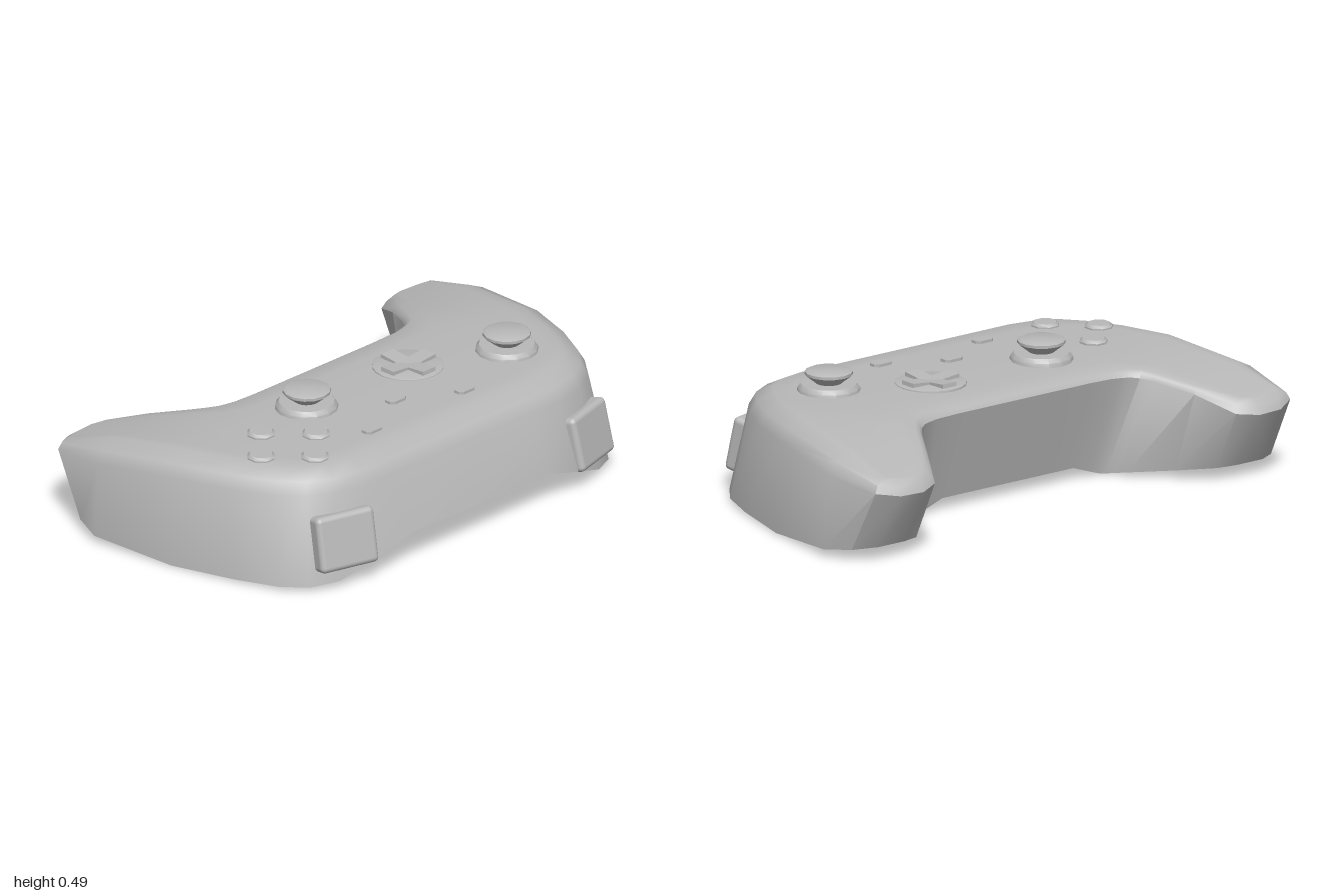
import * as THREE from 'three';
import { toCreasedNormals } from 'three/addons/utils/BufferGeometryUtils.js';
import { RoundedBoxGeometry } from 'three/addons/geometries/RoundedBoxGeometry.js';

const grey = new THREE.MeshStandardMaterial({ color: 0xb8b8b8 });
grey.name = 'plain grey';

const { lerp, clamp } = THREE.MathUtils;
const ramp = (v, a, b) => clamp((v - a) / (b - a), 0, 1);

// Height of the upper face: flat in the middle, dropping along the grips
function topY(z) {
  const steps = [[0.1, 0.415], [-0.1, 0.41], [-0.25, 0.395], [-0.4, 0.36], [-0.61, 0.3]];
  if (z >= steps[0][0]) return steps[0][1];
  for (let i = 1; i < steps.length; i++) {
    const [z0, y0] = steps[i - 1], [z1, y1] = steps[i];
    if (z >= z1) return lerp(y0, y1, (z0 - z) / (z0 - z1));
  }
  return 0.3;
}

// Height of the underside: raised towards the front between the grips
function bottomY(x, z) {
  const grip = z > -0.12 ? 0.018 * ramp(z, -0.12, 0.5) : 0.05 * ramp(-z, 0.12, 0.49);
  const t = ramp(z, -0.14, 0.6);
  const middle = lerp(0.045, 0.13, t);
  const w = 1 - ramp(Math.abs(x), lerp(0.3, 0.36, t), lerp(0.42, 0.7, t));
  return lerp(grip, middle, w);
}

// Half the body from the middle to a grip tip. Each row is a cross-section:
// outer bottom x z, outer rim x z, inner bottom x z, inner rim x z
const sections = [
  [0, 0.6, 0, 0.52, 0, -0.14, 0, -0.225],
  [0.34, 0.6, 0.34, 0.52, 0.2, -0.14, 0.2, -0.225],
  [0.5, 0.592, 0.48, 0.52, 0.3, -0.14, 0.3, -0.225],
  [0.65, 0.55, 0.61, 0.495, 0.38, -0.14, 0.4, -0.23],
  [0.75, 0.5, 0.71, 0.44, 0.41, -0.145, 0.44, -0.24],
  [0.82, 0.41, 0.79, 0.34, 0.43, -0.16, 0.47, -0.25],
  [0.88, 0.25, 0.86, 0.2, 0.45, -0.18, 0.5, -0.27],
  [0.945, 0, 0.925, 0, 0.48, -0.22, 0.53, -0.31],
  [1.0, -0.33, 0.98, -0.33, 0.59, -0.36, 0.61, -0.44],
  [0.96, -0.44, 0.95, -0.56, 0.69, -0.47, 0.69, -0.575],
  [0.88, -0.49, 0.87, -0.605, 0.76, -0.49, 0.77, -0.61],
];
const N = 8; // steps across the upper face and underside

function makeRings() {
  const outline = [
    ...sections.map(s => [s[2], s[3]]),
    ...sections.map(s => [s[6], s[7]]).reverse(),
  ];
  const inset = (i, d) => {
    const a = outline[Math.max(i - 1, 0)], b = outline[Math.min(i + 1, outline.length - 1)];
    const tx = b[0] - a[0], tz = b[1] - a[1], l = Math.hypot(tx, tz);
    return [outline[i][0] + tz / l * d, outline[i][1] - tx / l * d];
  };
  return sections.map((s, k) => {
    const ring = [], inner = outline.length - 1 - k;
    const tip = k > 8, wide = tip ? 0.05 : 0.09, thin = tip ? 0.045 : 0.025;
    const bevel = (i, d, drop) => {
      const [x, z] = inset(i, d);
      ring.push([x, topY(z) - drop, z]);
    };
    for (let j = 0; j <= N; j++) {
      const x = lerp(s[4], s[0], j / N), z = lerp(s[5], s[1], j / N);
      ring.push([x, bottomY(x, z), z]);
    }
    bevel(k, 0, tip ? 0.04 : 0.075);
    bevel(k, wide * 0.3, tip ? 0.015 : 0.03);
    const a = inset(k, wide), b = inset(inner, thin);
    for (let j = 0; j <= N; j++) {
      const x = lerp(a[0], b[0], j / N), z = lerp(a[1], b[1], j / N);
      ring.push([x, topY(z), z]);
    }
    bevel(inner, thin * 0.4, tip ? 0.015 : 0.007);
    bevel(inner, 0, tip ? 0.04 : 0.022);
    return ring;
  });
}

function bodyGeometry() {
  const half = makeRings();
  const mirrored = half.slice(1).reverse().map(r => r.map(([x, y, z]) => [-x, y, z]));
  const rings = [...mirrored, ...half];
  const L = rings[0].length, pos = [];
  const quad = (a, b, c, d) => pos.push(...a, ...b, ...c, ...a, ...c, ...d);
  for (let i = 0; i < rings.length - 1; i++) {
    for (let j = 0; j < L; j++) {
      const n = (j + 1) % L;
      quad(rings[i][j], rings[i + 1][j], rings[i + 1][n], rings[i][n]);
    }
  }
  // Close both grip tips
  const out = [N, N + 1, N + 2, N + 3], inn = [0, L - 1, L - 2, L - 3];
  const first = rings[0], last = rings[rings.length - 1];
  for (let j = 0; j < 3; j++) {
    quad(last[out[j]], last[inn[j]], last[inn[j + 1]], last[out[j + 1]]);
    quad(first[out[j]], first[out[j + 1]], first[inn[j + 1]], first[inn[j]]);
  }
  const g = new THREE.BufferGeometry();
  g.setAttribute('position', new THREE.Float32BufferAttribute(pos, 3));
  return toCreasedNormals(g, 0.65);
}

// Turned part from a radius/height profile, with crisp edges
function turned(points, sides) {
  const g = new THREE.LatheGeometry(points.map(p => new THREE.Vector2(...p)), sides);
  return toCreasedNormals(g, 0.6);
}

export function createModel() {
  const model = new THREE.Group();
  model.name = 'gameController';
  const add = (name, geometry, x = 0, y = 0, z = 0, parent = model) => {
    const m = new THREE.Mesh(geometry, grey);
    m.name = name;
    m.position.set(x, y, z);
    parent.add(m);
    return m;
  };

  add('body', bodyGeometry());

  // Thumbsticks with their collars
  const stick = turned([[0.115, 0.4], [0.112, 0.425], [0.1, 0.44], [0.045, 0.441],
    [0.086, 0.474], [0.086, 0.484], [0.074, 0.49], [0, 0.49]], 14);
  add('rightThumbstick', stick, -0.29, 0, 0.025);
  add('leftThumbstick', stick, 0.545, 0, 0.195);

  // Round face buttons
  const button = turned([[0.052, 0.4], [0.052, 0.42], [0.042, 0.43], [0, 0.43]], 8);
  for (const [x, z] of [[-0.565, 0.07], [-0.7, 0.205], [-0.43, 0.21], [-0.565, 0.34]]) {
    add('faceButton', button, x, 0, z).rotation.y = Math.PI / 8;
  }

  // Small oblong menu buttons
  const oblong = new THREE.Shape([[-0.04, -0.012], [-0.026, -0.025], [0.026, -0.025], [0.04, -0.012],
    [0.04, 0.012], [0.026, 0.025], [-0.026, 0.025], [-0.04, 0.012]].map(p => new THREE.Vector2(...p)));
  const small = new THREE.ExtrudeGeometry(oblong, { depth: 0.025, bevelEnabled: false });
  small.rotateX(-Math.PI / 2);
  for (const [x, z] of [[-0.265, 0.325], [-0.03, 0.21], [0.2, 0.325]]) {
    add('menuButton', small, x, 0.4, z);
  }

  // Direction pad: disc with four arms rising outwards
  const pad = new THREE.Group();
  pad.name = 'directionPad';
  pad.position.set(0.205, 0, 0.04);
  model.add(pad);
  add('padDisc', turned([[0.13, 0.4], [0.128, 0.417], [0.12, 0.42], [0, 0.418]], 20), 0, 0, 0, pad);
  for (let i = 0; i < 4; i++) {
    const arm = new THREE.Group();
    arm.name = 'padArm';
    arm.rotation.y = i * Math.PI / 2;
    pad.add(arm);
    add('padArmBlock', new THREE.BoxGeometry(0.105, 0.025, 0.062), 0.054, 0.417, 0, arm).rotation.z = 0.1;
  }

  // Shoulder triggers, leaning back and turned outwards
  const trigger = new RoundedBoxGeometry(0.235, 0.205, 0.09, 3, 0.02);
  for (const side of [-1, 1]) {
    const m = add(side > 0 ? 'leftTrigger' : 'rightTrigger', trigger, side * 0.607, 0.17, 0.52);
    m.rotation.order = 'YXZ';
    m.rotation.set(-0.22, side * 0.27, 0);
  }
  return model;
}
